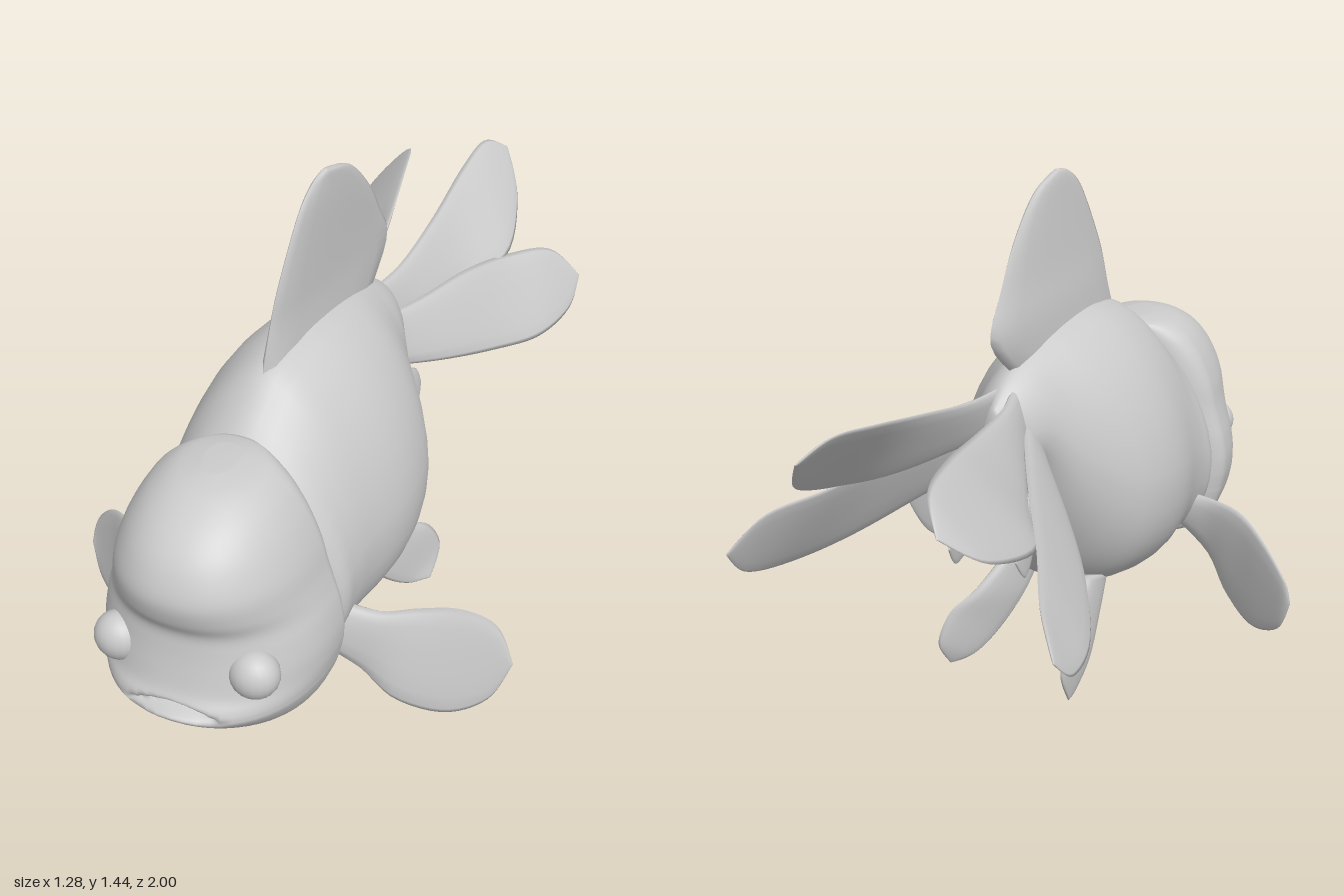
import * as THREE from 'three';

const material = new THREE.MeshStandardMaterial({ color: 0xcccccc, roughness: 0.8 });

// Smooth interpolation through rows of numbers, t from 0 to 1
function sample(rows, t) {
  const last = rows.length - 1, f = t * last;
  const i = Math.min(Math.floor(f), last - 1), u = f - i;
  const [a, b, c, d] = [i - 1, i, i + 1, i + 2].map(k => rows[Math.min(Math.max(k, 0), last)]);
  return b.map((_, k) => b[k] + 0.5 * u * (c[k] - a[k]
    + u * (2 * a[k] - 5 * b[k] + 4 * c[k] - d[k] + u * (3 * (b[k] - c[k]) + d[k] - a[k]))));
}

// Closed skin over rings of points, capped at both ends and turned outward
function loft(name, rings) {
  const n = rings[0].length, pos = [], index = [];
  rings.forEach(r => r.forEach(p => pos.push(p.x, p.y, p.z)));
  for (let j = 0; j < rings.length - 1; j++) {
    for (let i = 0; i < n; i++) {
      const a = j * n + i, b = j * n + (i + 1) % n;
      index.push(a, b, b + n, a, b + n, a + n);
    }
  }
  [0, rings.length - 1].forEach((j, end) => {
    const c = new THREE.Vector3();
    rings[j].forEach(p => c.addScaledVector(p, 1 / n));
    const centre = pos.length / 3;
    pos.push(c.x, c.y, c.z);
    for (let i = 0; i < n; i++) {
      const a = j * n + i, b = j * n + (i + 1) % n;
      if (end) index.push(a, b, centre); else index.push(b, a, centre);
    }
  });
  const at = k => new THREE.Vector3().fromArray(pos, 3 * k);
  const mid = at(0);
  let volume = 0;
  for (let k = 0; k < index.length; k += 3) {
    const [a, b, c] = [0, 1, 2].map(m => at(index[k + m]).sub(mid));
    volume += a.dot(b.cross(c));
  }
  if (volume < 0) index.reverse();
  const geo = new THREE.BufferGeometry();
  geo.setAttribute('position', new THREE.Float32BufferAttribute(pos, 3));
  geo.setIndex(index);
  geo.computeVertexNormals();
  const mesh = new THREE.Mesh(geo, material);
  mesh.name = name;
  return mesh;
}

const power = (v, e) => Math.sign(v) * Math.abs(v) ** e;

// Thin fin between two edges that start in the body and meet at the tip
function fin(name, edgeA, edgeB, thick) {
  const steps = 28, sides = 14, rings = [];
  const edges = s => [edgeA, edgeB].map(e => new THREE.Vector3(...sample(e, s)));
  let normal = new THREE.Vector3();
  for (let j = 0; j <= steps; j++) {
    const s = 1 - (1 - j / steps) ** 1.4;
    const [a, b] = edges(s);
    const half = b.clone().sub(a).multiplyScalar(0.5), mid = a.clone().add(half);
    if (j < steps) {
      const [a0, b0] = edges(Math.max(s - 0.03, 0)), [a1, b1] = edges(Math.min(s + 0.03, 1));
      const along = a1.add(b1).sub(a0).sub(b0);
      normal = half.clone().cross(along).normalize();
    }
    const t = thick * (0.35 + 0.65 * (1 - s) ** 2) * Math.sqrt(Math.max(1 - s ** 6, 0));
    rings.push(Array.from({ length: sides }, (_, i) => {
      const q = 2 * Math.PI * i / sides;
      return mid.clone().addScaledVector(half, power(Math.cos(q), 0.9))
        .addScaledVector(normal, t * power(Math.sin(q), 0.8));
    }));
  }
  return loft(name, rings);
}

// Body: z, half width, top, bottom
function makeBody() {
  const rows = [
    [.64, .2, .8, .3], [.57, .275, .875, .225], [.5, .28, .945, .208], [.42, .287, 1.01, .205],
    [.3, .31, 1.04, .21], [.2, .312, 1.047, .225], [.1, .292, 1.04, .255], [.03, .255, 1.03, .32],
    [-.03, .205, 1.015, .42], [-.08, .16, 1, .53], [-.14, .115, .975, .69], [-.2, .08, .94, .73],
    [-.25, .025, .89, .77]];
  const rings = [];
  for (let j = 0; j <= 48; j++) {
    const [z, w, top, bottom] = sample(rows, j / 48);
    const cx = .012 - .08 * z, cy = bottom + .4 * (top - bottom);
    rings.push(Array.from({ length: 40 }, (_, i) => {
      const q = 2 * Math.PI * i / 40, s = Math.sin(q), e = 2 / (s > 0 ? 1.7 : 2.25);
      return new THREE.Vector3(cx + w * power(Math.cos(q), e),
        cy + (s > 0 ? top - cy : cy - bottom) * power(s, e), z);
    }));
  }
  return loft('body', rings);
}

// Hooded head: y, front z, half width
const headX = -.033;
function makeHead() {
  const rows = [
    [.205, .69, .08], [.22, .77, .17], [.24, .835, .215], [.28, .905, .255], [.32, .955, .275],
    [.36, .993, .288], [.38, .998, .292], [.4, .99, .296], [.43, .97, .3], [.48, .955, .3],
    [.54, .942, .29], [.59, .938, .275], [.64, .96, .26], [.7, .97, .245], [.76, .95, .222],
    [.81, .915, .195], [.855, .86, .16], [.89, .79, .11], [.905, .72, .04]];
  const rings = [], cz = .64;
  for (let j = 0; j <= 90; j++) {
    const [y, front, w] = sample(rows, j / 90);
    rings.push(Array.from({ length: 64 }, (_, i) => {
      const q = 2 * Math.PI * i / 64, s = Math.sin(q);
      const dx = w * power(Math.cos(q), 2 / 2.2);
      let z = cz + (s > 0 ? front - cz : Math.min(.09, w)) * power(s, 2 / 2.2);
      // Down-turned mouth pressed into the muzzle
      const d = Math.abs(dx) / .115;
      if (s > 0 && d < 1) z -= .05 * (1 - d ** 4) * Math.exp(-(((y - .392 + .025 * d * d) / .012) ** 2));
      return new THREE.Vector3(headX + dx, y, z);
    }));
  }
  return loft('head', rings);
}

export function createModel() {
  const fish = new THREE.Group();
  fish.name = 'fish';
  fish.add(makeBody(), makeHead());

  // Bulging eyes
  for (const [name, side] of [['leftEye', 1], ['rightEye', -1]]) {
    const eye = new THREE.Mesh(new THREE.SphereGeometry(.064, 20, 14), material);
    eye.name = name;
    eye.scale.set(1, 1, .9);
    eye.position.set(headX + side * .178, .487, .892);
    fish.add(eye);
  }

  fish.add(fin('dorsalFin',
    [[-.025, .98, .44], [-.02, 1.1, .4], [-.01, 1.2, .37], [.01, 1.36, .29], [.02, 1.42, .22], [.03, 1.437, .16]],
    [[.03, .95, -.12], [.042, 1.07, -.235], [.045, 1.18, -.17], [.045, 1.29, -.085], [.04, 1.395, .035], [.03, 1.437, .16]],
    .04));

  // Twin forked tail: top edge, middle line to the notch, bottom edge, then the tips
  const tails = {
    left: {
      top: [[.03, .94, -.12], [.06, .94, -.3], [.08, .985, -.52], [.09, 1.04, -.75], [.11, 1.065, -.9]],
      mid: [[.05, .83, -.12], [.12, .82, -.3], [.19, .82, -.5], [.265, .82, -.68]],
      bottom: [[.06, .72, -.1], [.19, .665, -.28], [.3, .61, -.48], [.39, .585, -.64], [.44, .61, -.79]],
      upper: [[.23, .91, -.88], [.16, 1.02, -.98]], lower: [[.36, .79, -.81], [.445, .69, -.865]],
    },
    right: {
      top: [[.02, .94, -.12], [-.02, .93, -.3], [-.05, .95, -.52], [-.09, .985, -.75], [-.13, .985, -.92]],
      mid: [[0, .83, -.12], [-.08, .81, -.3], [-.18, .78, -.5], [-.27, .75, -.66]],
      bottom: [[-.03, .72, -.1], [-.19, .64, -.28], [-.31, .57, -.45], [-.39, .51, -.62], [-.405, .505, -.76]],
      upper: [[-.265, .83, -.9], [-.19, .92, -1]], lower: [[-.33, .68, -.78], [-.385, .57, -.83]],
    },
  };
  for (const [side, t] of Object.entries(tails)) {
    const tail = new THREE.Group();
    tail.name = side + 'TailFin';
    // The two lobes overlap a little along the middle line
    const shift = dy => t.mid.map(([x, y, z], i) => [x, y + (i < 3 ? dy : 0), z]);
    tail.add(
      fin('upperLobe', [...t.top, t.upper[1]], [...shift(-.025), ...t.upper], .02),
      fin('lowerLobe', [...shift(.025), ...t.lower], [...t.bottom, t.lower[1]], .02));
    fish.add(tail);
  }

  // Pectoral fins
  fish.add(fin('leftPectoralFin',
    [[.2, .41, .5], [.31, .4, .49], [.4, .41, .455], [.5, .407, .415], [.59, .36, .39], [.64, .25, .395]],
    [[.18, .27, .53], [.27, .22, .525], [.365, .145, .525], [.49, .1, .48], [.59, .14, .43], [.64, .25, .395]], .03));
  fish.add(fin('rightPectoralFin',
    [[-.24, .41, .49], [-.34, .41, .47], [-.45, .41, .41], [-.545, .365, .34], [-.62, .28, .3], [-.64, .2, .31]],
    [[-.24, .3, .51], [-.34, .21, .5], [-.41, .105, .46], [-.505, .053, .4], [-.6, .095, .34], [-.64, .2, .31]], .03));

  // Pelvic fins
  fish.add(fin('leftPelvicFin',
    [[.08, .28, .16], [.1, .19, .1], [.15, .09, .03], [.2, .03, -.04], [.25, .02, -.1]],
    [[.14, .32, .03], [.19, .245, -.06], [.235, .2, -.12], [.26, .11, -.15], [.25, .02, -.1]], .022));
  fish.add(fin('rightPelvicFin',
    [[-.13, .28, .15], [-.14, .19, .08], [-.145, .08, 0], [-.135, .015, -.07], [-.13, 0, -.12]],
    [[-.12, .32, .02], [-.125, .25, -.07], [-.13, .21, -.14], [-.13, .11, -.175], [-.13, 0, -.12]], .022));

  // Pair of small anal fins under the tail
  for (const [name, side] of [['leftAnalFin', 1], ['rightAnalFin', -1]]) {
    const x = out => .02 + side * out;
    fish.add(fin(name,
      [[x(.03), .64, -.08], [x(.055), .63, -.19], [x(.075), .618, -.27], [x(.09), .59, -.325], [x(.095), .53, -.352]],
      [[x(.03), .56, -.06], [x(.06), .545, -.16], [x(.085), .5, -.22], [x(.1), .465, -.3], [x(.095), .53, -.352]], .018));
  }
  return fish;
}
